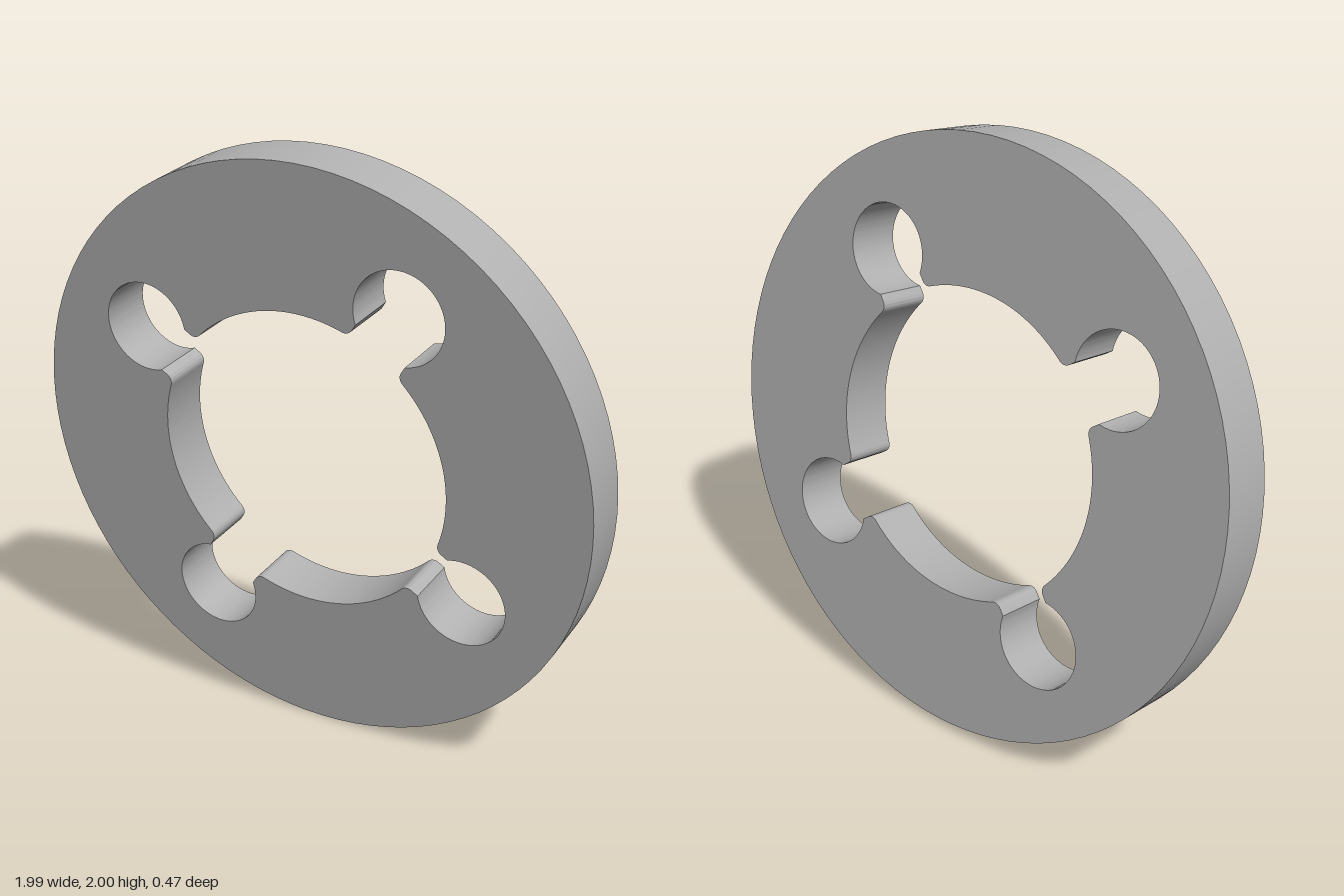
import * as THREE from 'three';
import { toCreasedNormals } from 'three/addons/utils/BufferGeometryUtils.js';

export function createModel() {
  const steel = new THREE.MeshStandardMaterial({ color: 0xb0b0b0 });
  steel.name = 'plain grey';

  const outerR = 0.997, boreR = 0.518, thickness = 0.19, tilt = 0.141;
  const lobeDist = 0.675, lobeR = 0.153; // round pockets around the bore
  const neck = 0.098, fillet = 0.03; // half width of the slot, rounding of its lips

  const lipT = neck + fillet;
  const lipR = Math.sqrt((boreR + fillet) ** 2 - lipT ** 2);
  const lipAngle = Math.atan2(lipT, lipR);
  const mouth = Math.asin(neck / lobeR);

  // Outer rim
  const shape = new THREE.Shape();
  shape.absarc(0, 0, outerR, 0, Math.PI * 2, false);

  // Bore with four keyhole pockets
  const hole = new THREE.Path();
  const first = 0.963, quarter = Math.PI / 2;
  for (let i = 0; i < 4; i++) {
    const a = first + i * quarter, c = Math.cos(a), s = Math.sin(a);
    const lip = (side, from, to) => hole.absarc(
      lipR * c - side * lipT * s, lipR * s + side * lipT * c, fillet, a + from, a + to, true);
    lip(-1, Math.PI - lipAngle, Math.PI / 2);
    hole.absarc(lobeDist * c, lobeDist * s, lobeR, a - Math.PI + mouth, a + Math.PI - mouth, false);
    lip(1, -Math.PI / 2, -Math.PI + lipAngle);
    hole.absarc(0, 0, boreR, a + lipAngle, a + quarter - lipAngle, false);
  }
  shape.holes.push(hole);

  let geometry = new THREE.ExtrudeGeometry(shape, { depth: thickness, bevelEnabled: false, curveSegments: 48 });
  geometry.translate(0, 0, -thickness / 2);
  geometry = toCreasedNormals(geometry, 0.5);

  // Disc leaning forward at the top
  const ring = new THREE.Mesh(geometry, steel);
  ring.name = 'slottedRing';
  ring.rotation.x = tilt;
  ring.position.y = outerR * Math.cos(tilt) + thickness / 2 * Math.sin(tilt);

  const group = new THREE.Group();
  group.name = 'tiltedRing';
  group.add(ring);
  return group;
}
